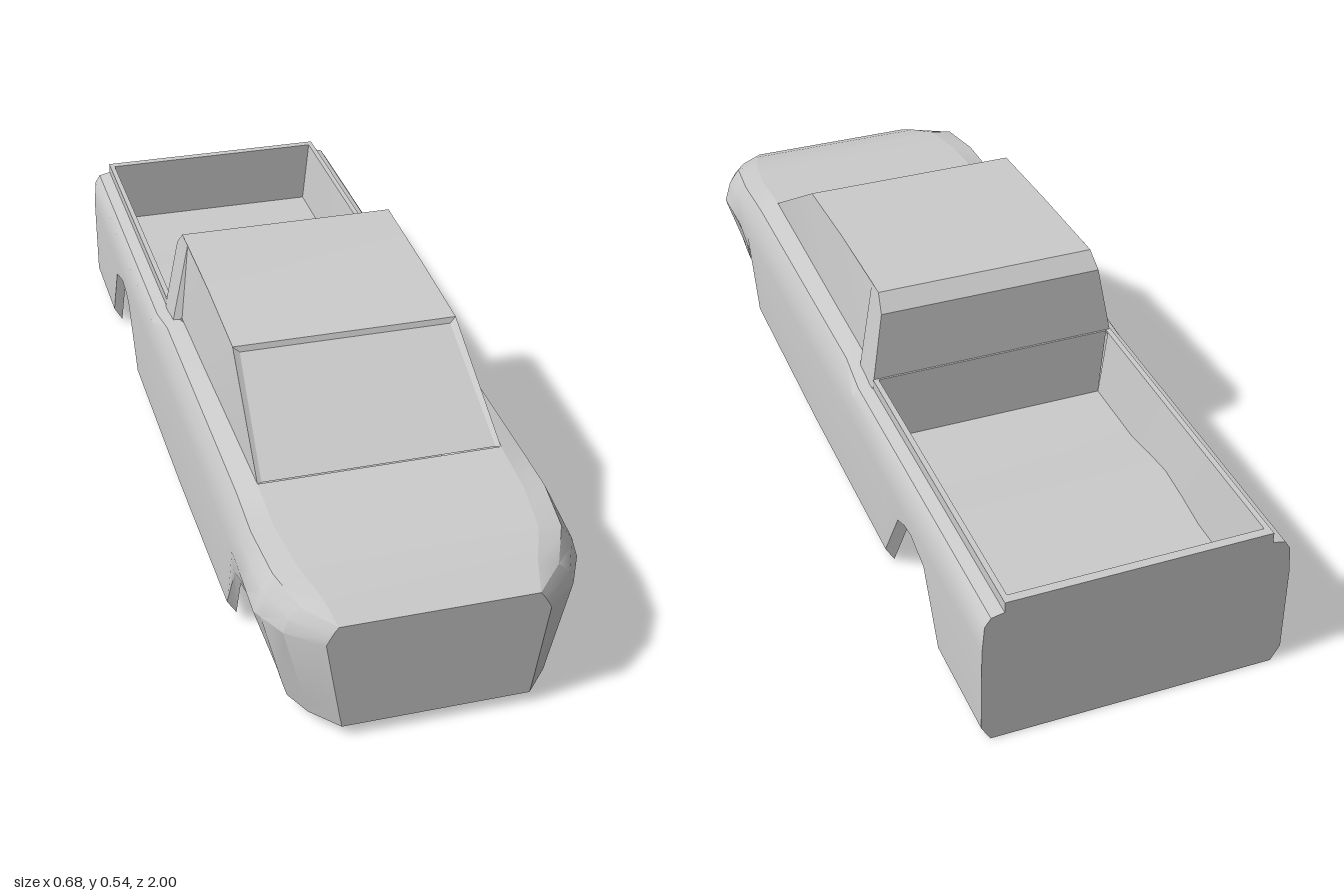
import * as THREE from 'three';
import { toCreasedNormals } from 'three/addons/utils/BufferGeometryUtils.js';

const material = new THREE.MeshStandardMaterial({ color: 0xcccccc, side: THREE.DoubleSide });

// Skin a surface over rows of points; flip reverses the winding.
function skin(name, rows, flip = false, crease = 0.5) {
  const cols = rows[0].length;
  const index = [];
  for (let i = 0; i < rows.length - 1; i++) {
    for (let j = 0; j < cols - 1; j++) {
      const a = i * cols + j, b = a + 1, c = a + cols, d = c + 1;
      if (flip) index.push(a, b, c, b, d, c);
      else index.push(a, c, b, b, c, d);
    }
  }
  const geometry = new THREE.BufferGeometry();
  geometry.setAttribute('position', new THREE.Float32BufferAttribute(rows.flat(2), 3));
  geometry.setIndex(index);
  const mesh = new THREE.Mesh(toCreasedNormals(geometry, crease), material);
  mesh.name = name;
  return mesh;
}

// The same surface on the left and right.
function sidePair(name, rows) {
  const mirrored = rows.map(r => r.map(([x, y, z]) => [-x, y, z]));
  return [skin('left' + name, rows), skin('right' + name, mirrored, true)];
}

// Rows spanning the full width, from half points [x, y, z].
const across = half => half.map(([x, y, z]) => [[x, y, z], [-x, y, z]]);

// Linear lookup in a table whose first column is z, falling from front to back.
function lookup(table, z) {
  let i = 0;
  while (i < table.length - 2 && table[i + 1][0] > z) i++;
  const p = table[i], q = table[i + 1];
  const t = (z - p[0]) / (q[0] - p[0]);
  return p.map((v, k) => v + (q[k] - v) * t);
}

// Lower edge with wheel arches: z, edge y, edge x, bevel y, bevel x
const lower = [
  [1, 0.025, 0.197, 0.06, 0.203],
  [0.94, 0.025, 0.25, 0.06, 0.258],
  [0.88, 0.025, 0.278, 0.06, 0.288],
  [0.8, 0.15, 0.308, 0.165, 0.313],
  [0.735, 0.18, 0.322, 0.2, 0.327],
  [0.66, 0.15, 0.318, 0.18, 0.33],
  [0.59, 0.02, 0.313, 0.052, 0.333],
  [0.1, 0, 0.313, 0.035, 0.333],
  [-0.42, 0, 0.313, 0.035, 0.333],
  [-0.51, 0.155, 0.313, 0.187, 0.333],
  [-0.55, 0.173, 0.313, 0.204, 0.333],
  [-0.59, 0.18, 0.313, 0.21, 0.333],
  [-0.67, 0.155, 0.313, 0.187, 0.333],
  [-0.755, 0, 0.313, 0.035, 0.333],
  [-1, 0, 0.313, 0.035, 0.333],
];

// Upper side: z, waist x, then x and y of haunch, shoulder and ledge
const upper = [
  [1, 0.23, 0.222, 0.25, 0.213, 0.265, 0.205, 0.275],
  [0.94, 0.3, 0.29, 0.265, 0.265, 0.29, 0.22, 0.302],
  [0.86, 0.34, 0.325, 0.285, 0.3, 0.32, 0.25, 0.328],
  [0.735, 0.337, 0.328, 0.3, 0.312, 0.333, 0.265, 0.338],
  [0.6, 0.334, 0.327, 0.3, 0.31, 0.338, 0.265, 0.35],
  [-0.1, 0.333, 0.327, 0.3, 0.31, 0.336, 0.27, 0.345],
  [-0.2, 0.333, 0.328, 0.3, 0.315, 0.32, 0.287, 0.326],
  [-1, 0.333, 0.328, 0.3, 0.315, 0.32, 0.287, 0.326],
];

function section(z) {
  const [, y0, x0, y1, x1] = lookup(lower, z);
  const [, x2, x3, y3, x4, y4, x5, y5] = lookup(upper, z);
  return [[x0, y0, z], [x1, y1, z], [x2, 0.235, z], [x3, y3, z], [x4, y4, z], [x5, y5, z]];
}

export function createModel() {
  const model = new THREE.Group();
  model.name = 'pickupBody';

  // Body sides
  const stations = [...new Set([...lower, ...upper].map(r => r[0]))].sort((a, b) => b - a);
  model.add(...sidePair('BodySide', stations.map(section)));

  // Hood, nose and tailgate
  const hoodZ = stations.filter(z => z >= 0.6);
  model.add(skin('hood', across(hoodZ.map(z => section(z)[5])), false, 0.7));
  model.add(skin('nose', across(section(1))));
  model.add(skin('tailgate', across([...section(-1), [0.287, 0.35, -1]].reverse())));

  // Windscreen, set in slightly below the roof lip
  const full = (o, i) => [o, i, [-i[0], i[1], i[2]], [-o[0], o[1], o[2]]];
  const lip = [0.25, 0.52, 0.33];
  model.add(skin('windscreen', [
    full([0.265, 0.35, 0.6], [0.255, 0.349, 0.595]),
    full(lip, [0.236, 0.508, 0.335]),
    full(lip, [0.236, 0.52, 0.33]),
  ], false, 0.2));

  // Roof and rear wall of the cab, down to the bed floor
  model.add(skin('roofAndRearWall', across([
    lip, [0.25, 0.533, 0.1], [0.252, 0.54, -0.17], [0.258, 0.505, -0.205],
    [0.285, 0.35, -0.222], [0.275, 0.349, -0.225], [0.257, 0.19, -0.235],
  ]), false, 0.3));

  // Side windows stepping out to the rear pillars, each row from sill to roof
  model.add(...sidePair('WindowAndPillar', [
    [[0.265, 0.349, 0.6], [0.265, 0.35, 0.6]],
    [[0.267, 0.347, 0.33], lip],
    [[0.269, 0.346, 0.1], [0.25, 0.533, 0.1]],
    [[0.27, 0.344, -0.12], [0.25, 0.538, -0.12]],
    [[0.289, 0.332, -0.135], [0.252, 0.539, -0.135]],
    [[0.289, 0.325, -0.17], [0.252, 0.54, -0.17]],
    [[0.289, 0.325, -0.205], [0.258, 0.505, -0.205]],
    [[0.289, 0.325, -0.222], [0.285, 0.35, -0.222]],
  ]));

  // Bed floor rising between the wheel arches
  const floor = [
    [-0.235, 0.19], [-0.42, 0.19], [-0.51, 0.205], [-0.59, 0.215],
    [-0.67, 0.205], [-0.755, 0.19], [-0.98, 0.19],
  ];
  model.add(skin('bedFloor', across(floor.map(([z, y]) => [0.257, y, z]))));

  // Bed rim and inner walls
  const rim = z => [[0.287, 0.325, z], [0.287, 0.35, z], [0.275, 0.35, z]];
  model.add(...sidePair('BedRim', [rim(-0.222), rim(-1)]));
  model.add(...sidePair('BedWall', floor.map(([z, y]) => [[0.275, 0.35, z], [0.257, y, z]])));
  model.add(skin('tailgateInside', across([
    [0.257, 0.19, -0.98], [0.275, 0.35, -0.98], [0.275, 0.35, -1],
  ])));

  return model;
}
